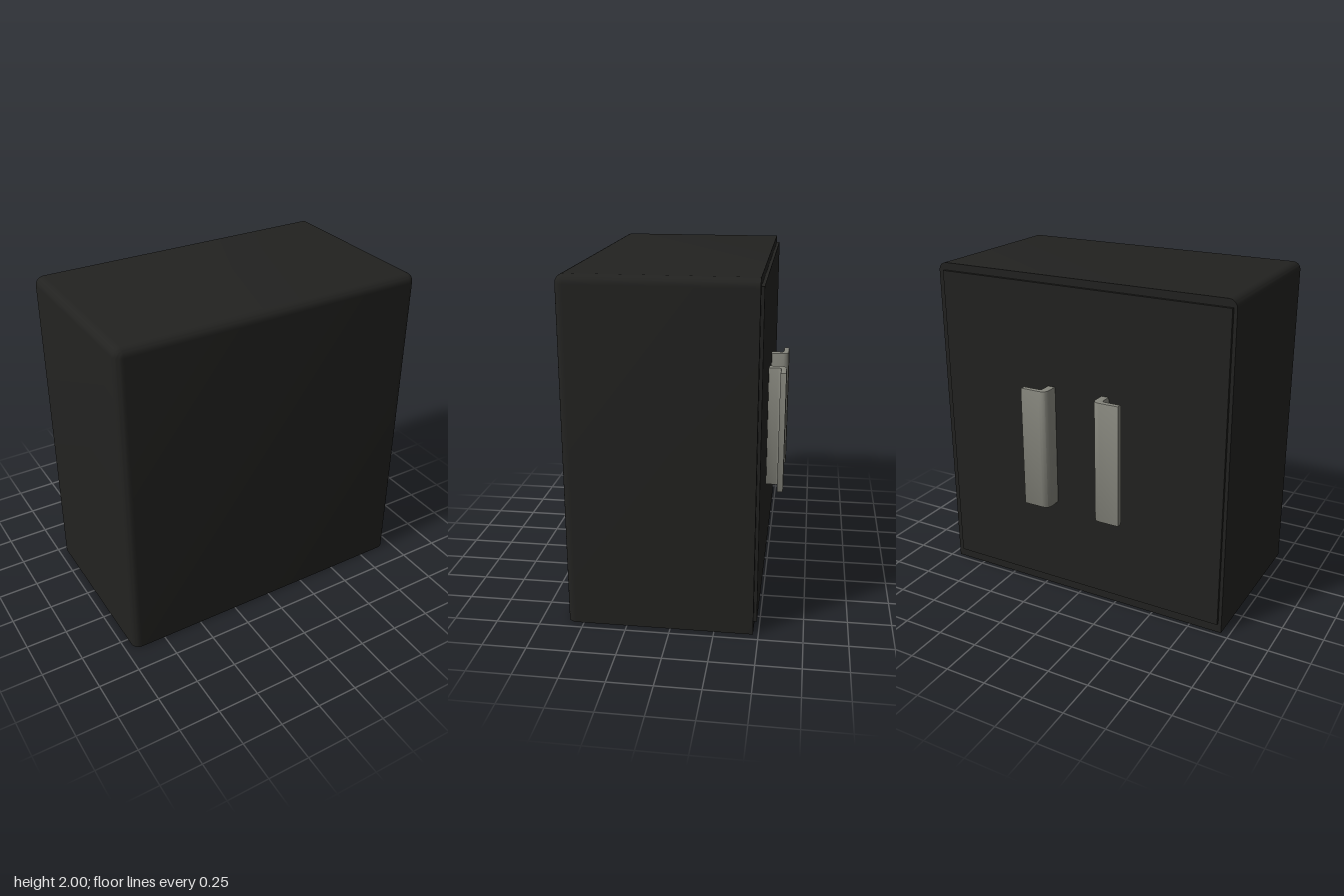
import * as THREE from 'three';
import { RoundedBoxGeometry } from 'three/addons/geometries/RoundedBoxGeometry.js';
import { toCreasedNormals } from 'three/addons/utils/BufferGeometryUtils.js';

const black = new THREE.MeshStandardMaterial({ color: 0x222220 });
const metal = new THREE.MeshStandardMaterial({ color: 0x85857c });

function add(parent, name, geometry, material) {
  const mesh = new THREE.Mesh(geometry, material);
  mesh.name = name;
  parent.add(mesh);
  return mesh;
}

// Box rounded on its front, top and vertical front edges; flat and sharp at the base and back
function cabinetGeometry() {
  const r = 0.05, back = -0.47, front = 0.595;
  const depth = front - back + r;
  const g = new RoundedBoxGeometry(1.9, 2 + r, depth, 4, r);
  g.translate(0, (2 - r) / 2, front - depth / 2);
  const p = g.attributes.position;
  for (let i = 0; i < p.count; i++) {
    p.setY(i, Math.max(p.getY(i), 0));
    p.setZ(i, Math.max(p.getZ(i), back));
  }
  return toCreasedNormals(g, 0.6);
}

// L-shaped pull: a stem out of the door and a flange turned outward (side = +1 or -1)
function handleGeometry(side) {
  const x = (d) => -0.01 + side * d;
  const s = new THREE.Shape();
  s.moveTo(x(0.153), -0.485);
  s.lineTo(x(0.153), -0.55);
  s.quadraticCurveTo(x(0.153), -0.595, x(0.2), -0.595);
  s.lineTo(x(0.321), -0.595);
  s.lineTo(x(0.321), -0.56);
  s.lineTo(x(0.222), -0.56);
  s.quadraticCurveTo(x(0.204), -0.56, x(0.204), -0.542);
  s.lineTo(x(0.204), -0.485);
  s.closePath();
  const bevel = 0.008;
  const g = new THREE.ExtrudeGeometry(s, {
    depth: 0.75 - 2 * bevel, bevelThickness: bevel, bevelSize: bevel,
    bevelOffset: -bevel, bevelSegments: 2, curveSegments: 6,
  });
  g.rotateX(Math.PI / 2);
  g.translate(0, 1.35 - bevel, 0);
  return toCreasedNormals(g, 0.5);
}

export function createModel() {
  const model = new THREE.Group();
  model.name = 'cabinet';

  add(model, 'cabinetBody', cabinetGeometry(), black);

  // Thin door panel standing slightly proud of the back
  add(model, 'doorPanel', new THREE.BoxGeometry(1.84, 1.895, 0.03), black)
    .position.set(-0.01, 1.0075, -0.473);

  add(model, 'leftHandle', handleGeometry(1), metal);
  add(model, 'rightHandle', handleGeometry(-1), metal);
  return model;
}
